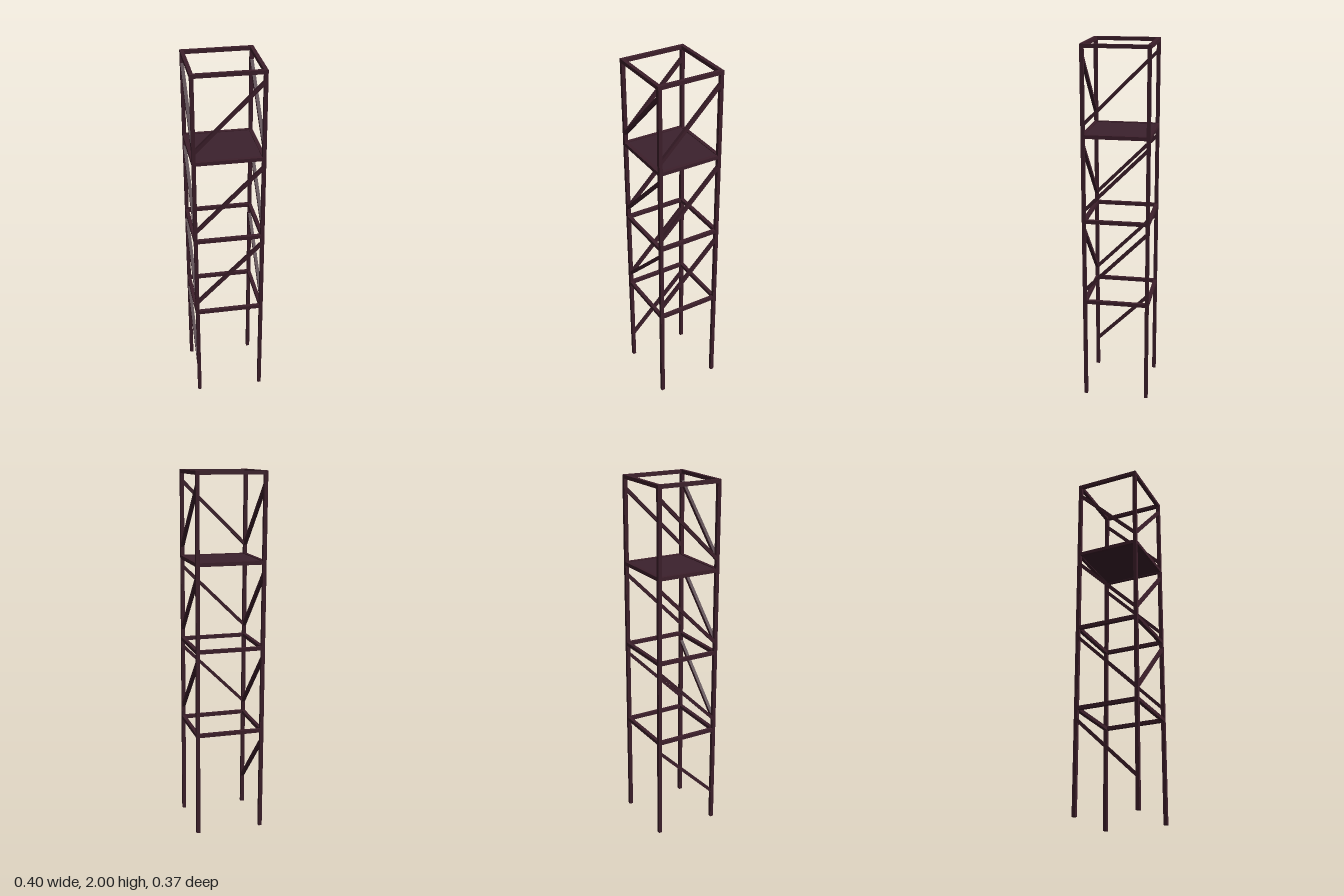
import * as THREE from 'three';

export function createModel() {
  const tower = new THREE.Group();
  tower.name = 'tower';
  const timber = new THREE.MeshStandardMaterial({ color: 0x3d1f2b });
  timber.name = 'dark timber';
  const planks = new THREE.MeshStandardMaterial({ color: 0x3b222d });
  planks.name = 'dark planks';

  const Z = 0.175;
  const T = 0.02;
  const up = new THREE.Vector3(0, 1, 0);

  // Centre line of a leg at height y; the legs lean slightly towards -x
  const legPoint = (sx, sz, y) => new THREE.Vector3(
    sx < 0 ? -0.178 - 0.006 * y : 0.187 - 0.0045 * y, y, sz * Z);

  // Square beam between two points
  function beam(name, a, b, size) {
    const dir = b.clone().sub(a);
    const mesh = new THREE.Mesh(new THREE.BoxGeometry(size, dir.length(), size), timber);
    mesh.position.copy(a).add(b).multiplyScalar(0.5);
    // keep two faces of the beam parallel to the tower side it lies in
    const y = dir.normalize();
    const side = Math.abs(y.z) > Math.abs(y.x) ? new THREE.Vector3(1, 0, 0) : new THREE.Vector3(0, 0, 1);
    const x = new THREE.Vector3().crossVectors(y, side).normalize();
    const z = new THREE.Vector3().crossVectors(x, y);
    mesh.quaternion.setFromRotationMatrix(new THREE.Matrix4().makeBasis(x, y, z));
    mesh.name = name;
    tower.add(mesh);
  }

  // Legs
  for (const sx of [-1, 1]) {
    for (const sz of [-1, 1]) beam('leg', legPoint(sx, sz, 0), legPoint(sx, sz, 2), T);
  }

  // Horizontal rings
  for (const y of [0.577, 1.05, 1.52, 1.99]) {
    for (const s of [-1, 1]) {
      beam('crossRail', legPoint(-1, s, y), legPoint(1, s, y), T);
      beam('sideRail', legPoint(s, -1, y), legPoint(s, 1, y), T);
    }
  }

  // Diagonal braces on the front and both sides of the upper bays
  for (const y of [0.645, 1.11, 1.58]) {
    beam('frontBrace', legPoint(-1, 1, y), legPoint(1, 1, y + 0.36), 0.018);
    for (const s of [-1, 1]) beam('sideBrace', legPoint(s, 1, y), legPoint(s, -1, y + 0.35), 0.018);
  }
  // The lowest bay is braced on one side only
  beam('lowerBrace', legPoint(-1, 1, 0.17), legPoint(-1, -1, 0.515), 0.018);

  // Platform
  const deck = new THREE.Mesh(new THREE.BoxGeometry(0.355, 0.012, 0.345), planks);
  deck.position.set(-0.003, 1.52, 0);
  deck.name = 'platform';
  tower.add(deck);

  return tower;
}
